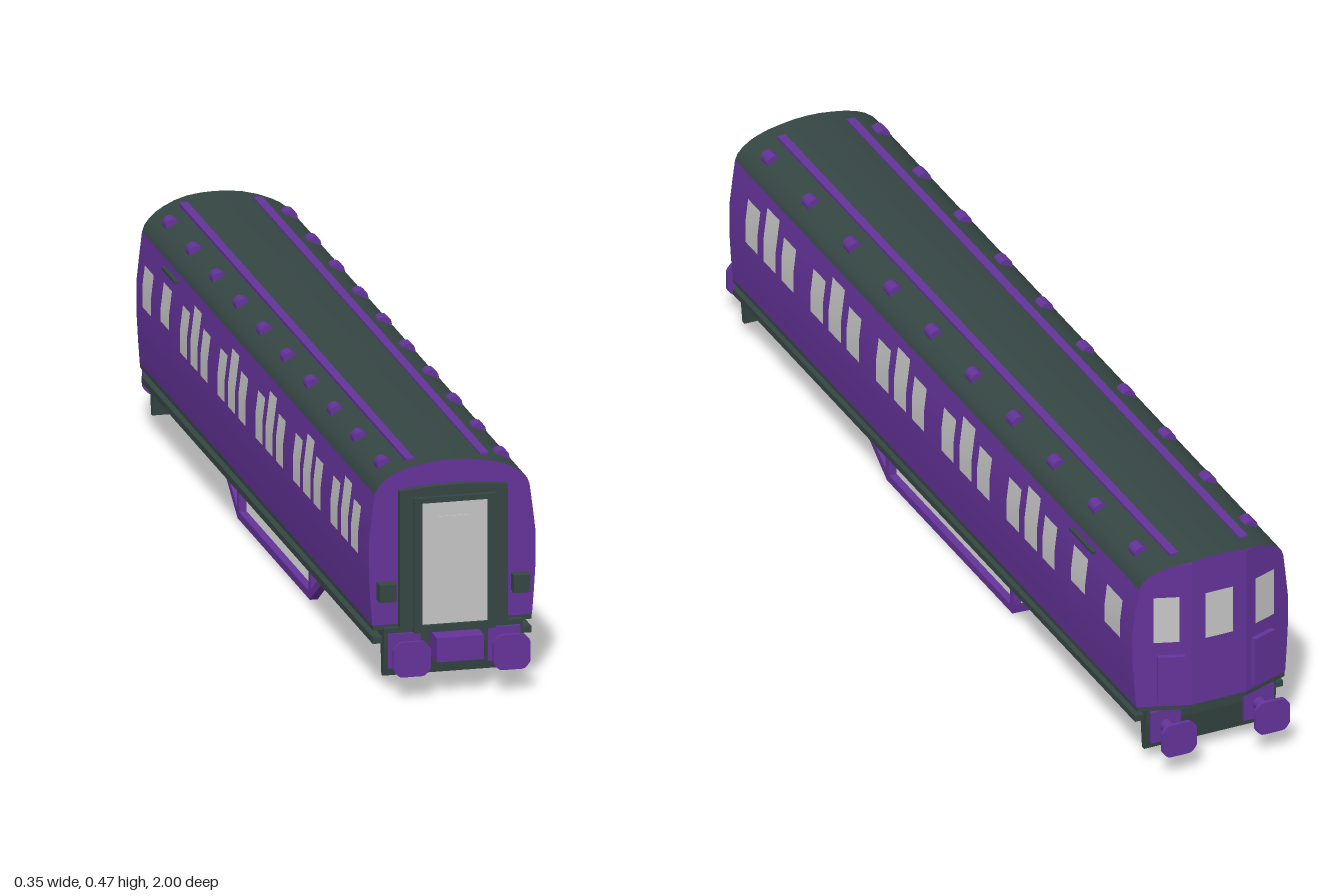
import * as THREE from 'three';

const mat = (name, color, side = THREE.FrontSide) => {
  const m = new THREE.MeshStandardMaterial({ color, side });
  m.name = name;
  return m;
};
const purple = mat('purple paint', 0x643399, THREE.DoubleSide);
const dark = mat('dark grey', 0x354643, THREE.DoubleSide);
const pale = mat('pale grey', 0xc6c6c6, THREE.DoubleSide);

// half cross-section of the body: [half width, height]
const LOWER = [[0.163, 0.135], [0.167, 0.185], [0.17, 0.235], [0.17, 0.31], [0.164, 0.36], [0.158, 0.405]];
const UPPER = [[0.158, 0.405], [0.153, 0.418], [0.142, 0.43], [0.127, 0.441], [0.11, 0.449],
  [0.085, 0.457], [0.057, 0.462], [0.028, 0.466], [0, 0.467]];
const FRONT = 0.92, BOW = 0.06;

// the rear end is bowed in three facets
const rearZ = x => -0.966 + 0.04 * Math.max(0, (Math.abs(x) - BOW) / 0.11);

function widthAt(y) {
  for (let i = 1; i < LOWER.length; i++) {
    const [w0, y0] = LOWER[i - 1], [w1, y1] = LOWER[i];
    if (y <= y1) return w0 + (w1 - w0) * (y - y0) / (y1 - y0);
  }
  return 0.158;
}

// surface through rows of points
function sheet(rows) {
  const n = rows[0].length, index = [];
  for (let r = 0; r < rows.length - 1; r++) {
    for (let c = 0; c < n - 1; c++) {
      const a = r * n + c, b = a + n;
      index.push(a, a + 1, b + 1, a, b + 1, b);
    }
  }
  const g = new THREE.BufferGeometry();
  g.setAttribute('position', new THREE.Float32BufferAttribute(rows.flat(2), 3));
  g.setIndex(index);
  g.computeVertexNormals();
  return g;
}

export function createModel() {
  const model = new THREE.Group();
  model.name = 'railwayCoach';
  const add = (name, geometry, material) => {
    const m = new THREE.Mesh(geometry, material);
    m.name = name;
    model.add(m);
    return m;
  };
  // box from its limits
  const box = (name, material, x0, x1, y0, y1, z0, z1) =>
    add(name, new THREE.BoxGeometry(x1 - x0, y1 - y0, z1 - z0), material)
      .position.set((x0 + x1) / 2, (y0 + y1) / 2, (z0 + z1) / 2);
  // plate that follows the curved side
  const sidePlate = (name, material, s, z0, z1, y0, y1, off) => {
    const ys = [y0, ...LOWER.map(p => p[1]).filter(y => y > y0 && y < y1), y1];
    const rows = ys.map(y => {
      const x = s * (widthAt(y) + off);
      return s > 0 ? [[x, y, z1], [x, y, z0]] : [[x, y, z0], [x, y, z1]];
    });
    add(name, sheet(rows), material);
  };

  // body sides and roof
  for (const s of [1, -1]) {
    const rows = LOWER.map(([w, y]) => {
      const a = [s * w, y, FRONT], b = [s * w, y, rearZ(w)];
      return s > 0 ? [a, b] : [b, a];
    });
    add('bodySide', sheet(rows), purple);
  }
  const arch = [...UPPER, ...UPPER.slice(0, -1).reverse().map(([w, y]) => [-w, y])];
  add('roof', sheet(arch.map(([x, y]) => [[x, y, FRONT], [x, y, rearZ(x)]])), dark);

  // end walls, split into vertical facets
  const levels = [...LOWER, ...UPPER.slice(1)];
  const endWall = (name, dir) => {
    const rows = levels.map(([w, y]) => {
      const c = Math.min(BOW, w);
      return [-w, -c, c, w].map(x => [dir * x, y, dir > 0 ? FRONT : rearZ(x)]);
    });
    const g = sheet(rows).toNonIndexed();
    g.computeVertexNormals();
    add(name, g, purple);
  };
  endWall('frontWall', 1);
  endWall('rearWall', -1);

  // floor, underframe and footboards
  const plan = new THREE.Shape([[0.162, -FRONT], [-0.162, -FRONT], [-0.162, -rearZ(0.162)],
    [-BOW, 0.964], [BOW, 0.964], [0.162, -rearZ(0.162)]].map(p => new THREE.Vector2(...p)));
  const floor = new THREE.ExtrudeGeometry(plan, { depth: 0.012, bevelEnabled: false });
  add('floor', floor.rotateX(-Math.PI / 2).translate(0, 0.125, 0), dark);
  box('underframe', dark, -0.142, 0.142, 0.1, 0.13, -0.928, 0.93);
  for (const s of [1, -1]) box('footboard', dark, s * 0.151 - 0.011, s * 0.151 + 0.011, 0.097, 0.11, -0.92, 0.92);

  // side windows, doors and roof fittings
  for (const s of [1, -1]) {
    for (let g = 0; g < 5; g++) {
      const z = 0.733 - g * 0.299;
      for (const k of [-1, 0, 1]) {
        const c = z + k * 0.082;
        sidePlate('sideWindow', pale, s, c - 0.028, c + 0.028, 0.262, k ? 0.359 : 0.382, 0.002);
      }
    }
    sidePlate('cabDoor', purple, s, -0.735, -0.633, 0.142, 0.385, 0.0025);
    sidePlate('cabDoorWindow', pale, s, -0.718, -0.653, 0.284, 0.364, 0.0045);
    sidePlate('cabSideWindow', pale, s, -0.873, -0.802, 0.268, 0.353, 0.002);
    box('doorRainStrip', dark, s * 0.164 - 0.004, s * 0.164 + 0.004, 0.385, 0.391, -0.737, -0.631);
    box('roofStrip', purple, s * 0.076 - 0.009, s * 0.076 + 0.009, 0.452, 0.463, -0.92, 0.88);
    for (let i = 0; i < 10; i++) {
      const vent = new THREE.CylinderGeometry(0.015, 0.015, 0.03, 12).rotateX(Math.PI / 2);
      add('roofVent', vent, purple).position.set(s * 0.12, 0.442, -0.847 + i * 0.187);
    }
  }

  // rear windows and equipment boxes on the bowed end
  const rearPlate = (name, material, x0, x1, y0, y1, off) => add(name,
    sheet([y0, y1].map(y => [x1, x0].map(x => [x, y, rearZ(x) - off]))), material);
  rearPlate('rearWindow', pale, -0.03, 0.03, 0.282, 0.385, 0.002);
  for (const s of [1, -1]) {
    const [a, b] = s > 0 ? [0.083, 0.132] : [-0.132, -0.083];
    rearPlate('rearCornerWindow', pale, a, b, 0.282, 0.385, 0.002);
    const jumper = new THREE.Mesh(new THREE.BoxGeometry(0.055, 0.105, 0.014), purple);
    jumper.name = 'rearEquipmentBox';
    jumper.position.set(s * 0.1, 0.2, rearZ(0.1) - 0.004);
    jumper.rotation.y = -s * Math.atan2(0.04, 0.11);
    model.add(jumper);
  }

  // gangway at the front
  const arched = (w, y0, y1, rise) => {
    const p = new THREE.Shape();
    p.moveTo(-w, y0);
    p.lineTo(w, y0);
    p.lineTo(w, y1);
    p.quadraticCurveTo(0, y1 + rise * 2, -w, y1);
    p.closePath();
    return p;
  };
  const slab = (name, shape, z, depth, material) =>
    add(name, new THREE.ExtrudeGeometry(shape, { depth, bevelEnabled: false, curveSegments: 8 }), material).position.z = z;
  slab('gangwaySurround', arched(0.11, 0.125, 0.412, 0.007), FRONT - 0.005, 0.02, dark);
  const frame = arched(0.083, 0.12, 0.398, 0);
  frame.holes.push(arched(0.067, 0.135, 0.387, 0));
  slab('gangwayFrame', frame, 0.93, 0.015, dark);
  box('gangwayDoor', pale, -0.067, 0.067, 0.135, 0.387, 0.932, 0.939);
  box('gangwayDoorWindow', pale, -0.033, 0.033, 0.265, 0.357, 0.938, 0.941);
  for (const s of [1, -1]) box('lampBox', dark, s * 0.137 - 0.017, s * 0.137 + 0.017, 0.188, 0.224, 0.915, 0.945);

  // front coupler
  box('couplerBlock', purple, -0.048, 0.048, 0.07, 0.12, 0.925, 0.988);

  // headstocks and buffers at both ends
  const headShape = new THREE.Shape(Array.from({ length: 40 }, (_, i) => {
    const a = i / 40 * Math.PI * 2, r = 0.043;
    return new THREE.Vector2(THREE.MathUtils.clamp(r * Math.cos(a), -0.038, 0.038),
      THREE.MathUtils.clamp(r * Math.sin(a), -0.036, 0.036));
  }));
  const wedge = new THREE.Shape([[0.9, 0.125], [0.93, 0.125], [0.93, 0.09], [0.92, 0.03], [0.91, 0.03]]
    .map(p => new THREE.Vector2(...p)));
  for (const e of [1, -1]) {
    const end = new THREE.Group();
    end.name = e > 0 ? 'frontBufferBeam' : 'rearBufferBeam';
    const put = (name, g, m, x, y, z) => {
      const mesh = new THREE.Mesh(g, m);
      mesh.name = name;
      mesh.position.set(x, y, z);
      end.add(mesh);
    };
    const beam = new THREE.ExtrudeGeometry(wedge, { depth: 0.284, bevelEnabled: false });
    put('headstock', beam.rotateY(-Math.PI / 2), dark, 0.142, 0, 0);
    for (const x of [-0.102, 0.102]) {
      put('bufferBase', new THREE.BoxGeometry(0.066, 0.07, 0.008), purple, x, 0.084, 0.933);
      put('bufferStem', new THREE.CylinderGeometry(0.01, 0.014, 0.065, 12).rotateX(Math.PI / 2), purple, x, 0.084, 0.962);
      put('bufferHead', new THREE.ExtrudeGeometry(headShape, { depth: 0.008, bevelEnabled: false }), purple, x, 0.084, 0.992);
    }
    if (e < 0) end.rotation.y = Math.PI;
    model.add(end);
  }

  // truss rods below the floor
  const rod = (x, z0, y0, z1, y1) => {
    const g = new THREE.BoxGeometry(0.016, 0.016, Math.hypot(z1 - z0, y1 - y0) + 0.006);
    const m = add('trussRod', g, purple);
    m.position.set(x, (y0 + y1) / 2, (z0 + z1) / 2);
    m.rotation.x = -Math.atan2(y1 - y0, z1 - z0);
  };
  for (const x of [-0.12, 0.12]) {
    rod(x, -0.285, 0.008, 0.285, 0.008);
    for (const e of [1, -1]) {
      rod(x, e * 0.285, 0.008, e * 0.43, 0.1);
      rod(x, e * 0.285, 0.015, e * 0.285, 0.1);
    }
  }

  // equipment cases between the trusses
  for (const [z0, z1] of [[0, 0.34], [-0.21, -0.045]]) box('equipmentCase', dark, -0.1, 0.1, 0.03, 0.102, z0, z1);
  for (const s of [1, -1]) {
    for (const [z0, z1] of [[0.01, 0.145], [0.16, 0.275], [-0.2, -0.055]]) {
      box('casePanel', purple, s * 0.101 - 0.003, s * 0.101 + 0.003, 0.042, 0.09, z0, z1);
    }
  }
  return model;
}
